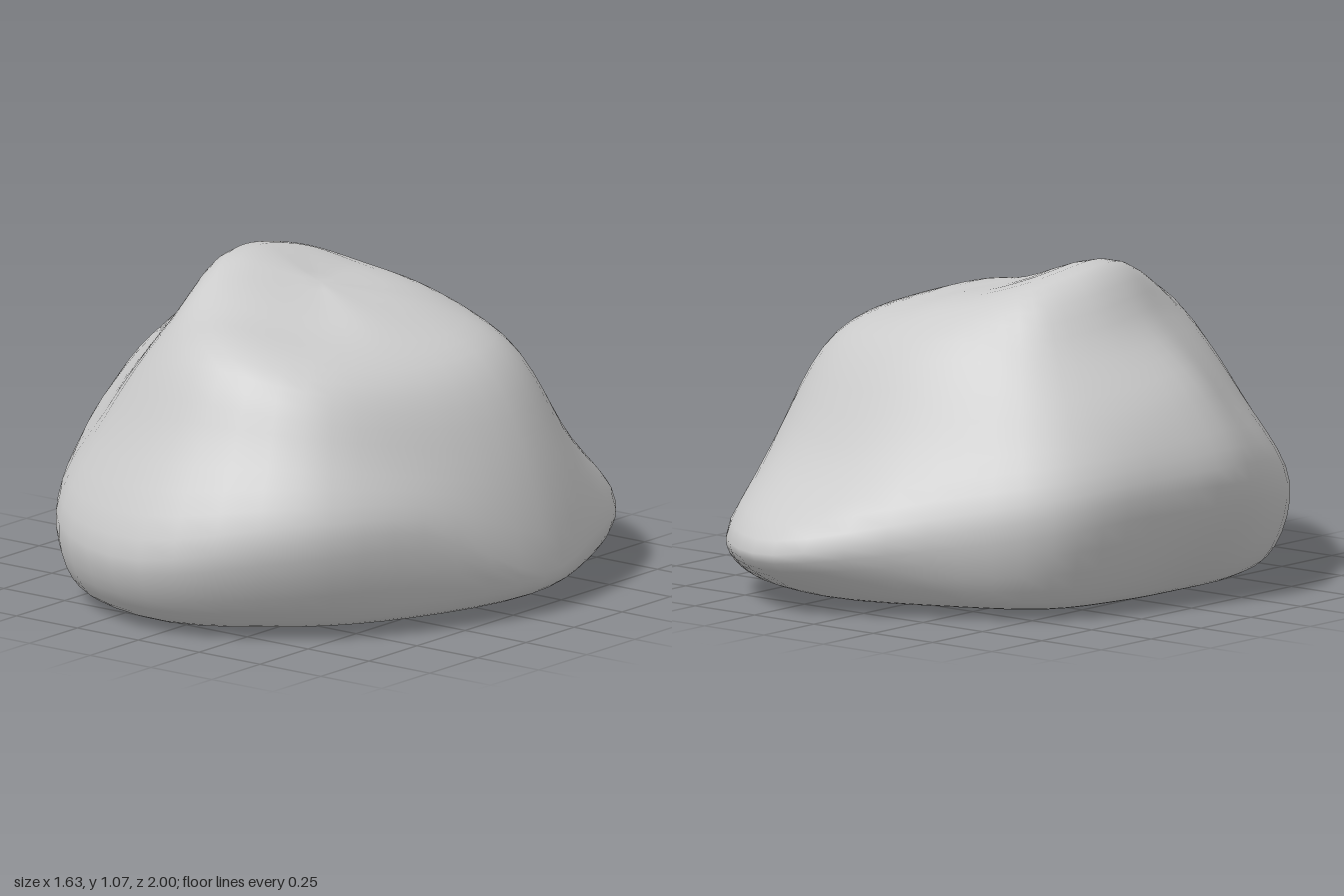
import * as THREE from 'three';
import { mergeVertices } from 'three/addons/utils/BufferGeometryUtils.js';

// Spokes around the boulder: angle from the front towards +x, foot radius,
// then [radius, height] of the belly, the wall, the shoulder and the crown.
const SPOKES = [
  [0, 0.89, [1.0, 0.26], [0.82, 0.62], [0.65, 0.89], [0.38, 0.95]],
  [32, 0.79, [0.93, 0.35], [0.81, 0.62], [0.67, 0.83], [0.35, 0.92]],
  [60, 0.74, [0.82, 0.34], [0.74, 0.56], [0.61, 0.79], [0.34, 0.92]],
  [96, 0.79, [0.82, 0.13], [0.745, 0.5], [0.59, 0.79], [0.34, 0.91]],
  [122, 0.82, [0.86, 0.17], [0.75, 0.5], [0.58, 0.79], [0.33, 0.915]],
  [145, 0.89, [0.96, 0.18], [0.75, 0.48], [0.54, 0.8], [0.33, 0.92]],
  [170, 0.86, [1.016, 0.2], [0.75, 0.45], [0.51, 0.82], [0.33, 0.94]],
  [200, 0.73, [0.82, 0.28], [0.67, 0.56], [0.48, 0.86], [0.33, 0.97]],
  [229, 0.72, [0.82, 0.35], [0.7, 0.6], [0.54, 0.83], [0.36, 1.015]],
  [255, 0.65, [0.78, 0.39], [0.71, 0.62], [0.52, 0.85], [0.34, 1.05]],
  [280, 0.65, [0.83, 0.39], [0.71, 0.66], [0.5, 0.87], [0.33, 1.065]],
  [304, 0.74, [0.845, 0.35], [0.69, 0.62], [0.5, 0.87], [0.35, 1.05]],
  [328, 0.86, [0.93, 0.26], [0.77, 0.57], [0.59, 0.83], [0.39, 0.995]],
];
const AROUND = SPOKES.length * 4, UP = 35;

// The underside is almost flat, with a slight tilt.
const groundY = (x, z) => 0.012 + 0.012 * x - 0.01 * z;

function spokePoints([deg, foot, ...upper]) {
  const a = THREE.MathUtils.degToRad(deg);
  const at = (r, y) => new THREE.Vector3(r * Math.sin(a), y, r * Math.cos(a));
  const sole = at(foot * 0.82, 0);
  sole.y = groundY(sole.x, sole.z);
  const edge = at(foot, 0);
  edge.y = groundY(edge.x, edge.z) + 0.045;
  return [sole, edge, ...upper.map(([r, y]) => at(r, y))];
}

function boulderGeometry() {
  // Closed curves run around the boulder through the matching points of all spokes
  const spokes = SPOKES.map(spokePoints);
  const rings = spokes[0].map((_, i) =>
    new THREE.CatmullRomCurve3(spokes.map((s) => s[i]), true, 'centripetal'));

  const positions = [], indices = [];
  for (let i = 0; i < AROUND; i++) {
    // Profile from the middle of the underside up to the middle of the crown
    const profile = new THREE.CatmullRomCurve3([
      new THREE.Vector3(0, 0.012, 0),
      ...rings.map((ring) => ring.getPoint(i / AROUND)),
      new THREE.Vector3(-0.02, 0.99, 0.03),
    ], false, 'centripetal');
    for (let j = 0; j <= UP; j++) positions.push(...profile.getPoint(j / UP).toArray());
  }
  const id = (i, j) => (i % AROUND) * (UP + 1) + j;
  for (let i = 0; i < AROUND; i++) {
    for (let j = 0; j < UP; j++) {
      const a = id(i, j), b = id(i + 1, j), c = id(i + 1, j + 1), d = id(i, j + 1);
      if (j > 0) indices.push(a, b, d);
      if (j < UP - 1) indices.push(b, c, d);
    }
  }

  // Join the poles, then smooth the surface
  const geometry = new THREE.BufferGeometry();
  geometry.setAttribute('position', new THREE.Float32BufferAttribute(positions, 3));
  geometry.setIndex(indices);
  const welded = mergeVertices(geometry, 1e-5);
  welded.computeVertexNormals();
  return welded;
}

export function createModel() {
  const group = new THREE.Group();
  group.name = 'rock';
  const boulder = new THREE.Mesh(
    boulderGeometry(), new THREE.MeshStandardMaterial({ color: 0xcccccc }));
  boulder.name = 'boulder';
  group.add(boulder);
  return group;
}
